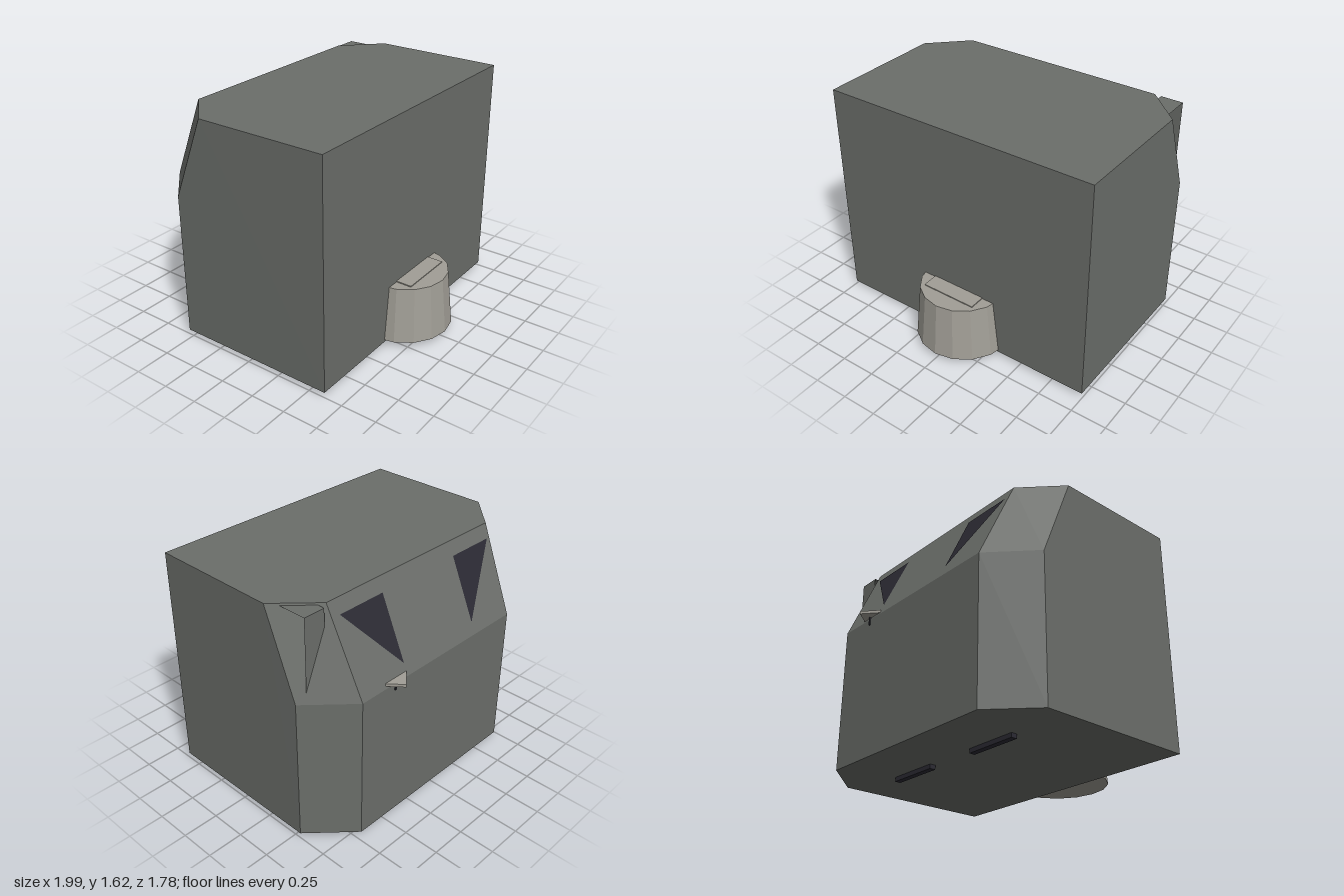
import * as THREE from 'three';
import { ConvexGeometry } from 'three/addons/geometries/ConvexGeometry.js';

const mat = (name, color, extra = {}) => {
  const m = new THREE.MeshStandardMaterial({ color, flatShading: true, ...extra });
  m.name = name;
  return m;
};

export function createModel() {
  const group = new THREE.Group();
  const grey = mat('bodyGrey', 0x6b6e6a);
  const greyThin = mat('bodyGreyThin', 0x6b6e6a, { side: THREE.DoubleSide });
  const pale = mat('paleStone', 0xa19e96);
  const dark = mat('darkSlate', 0x2b2a33);

  const add = (name, geometry, material, x = 0, y = 0, z = 0) => {
    const mesh = new THREE.Mesh(geometry, material);
    mesh.name = name;
    mesh.position.set(x, y, z);
    group.add(mesh);
    return mesh;
  };
  const box = (name, m, x0, x1, y0, y1, z0, z1) =>
    add(name, new THREE.BoxGeometry(x1 - x0, y1 - y0, z1 - z0), m,
      (x0 + x1) / 2, (y0 + y1) / 2, (z0 + z1) / 2);

  // Block body: flat front, chamfered back corners, upper back sloping forward
  const points = [];
  for (const s of [-1, 1]) {
    for (const y of [0.03, 1.62]) points.push(new THREE.Vector3(s * 0.993, y, 0.615));
    for (const y of [0.03, 1.038]) {
      points.push(new THREE.Vector3(s * 0.995, y, -0.54), new THREE.Vector3(s * 0.715, y, -0.81));
    }
    points.push(new THREE.Vector3(s * 0.995, 1.62, -0.305), new THREE.Vector3(s * 0.745, 1.62, -0.55));
  }
  add('body', new ConvexGeometry(points), grey);

  // Half-buried tapered snout with a thin plate on top
  add('snout', new THREE.CylinderGeometry(0.3, 0.34, 0.39, 16), pale, 0, 0.24, 0.55);
  box('snoutPlate', pale, -0.2, 0.2, 0.43, 0.442, 0.58, 0.727);

  // Feet strips under the body
  for (const s of [-1, 1]) {
    const foot = box('foot', dark, 0.197, 0.58, 0, 0.035, -0.43, -0.388);
    foot.position.x *= s;
  }

  // Triangular eyes lying just above the back slope
  const slopeZ = (y) => -0.81 + (y - 1.038) * (0.26 / 0.582);
  const slopeY = (z) => 1.038 + (z + 0.81) * (0.582 / 0.26);
  const eye = (corners) => {
    const g = new THREE.BufferGeometry();
    const pos = corners.flatMap(([x, z]) => {
      const y = slopeY(z);
      return [x, y + 0.002, slopeZ(y) - 0.004];
    });
    g.setAttribute('position', new THREE.Float32BufferAttribute(pos, 3));
    g.computeVertexNormals();
    add('eye', g, dark);
  };
  eye([[-0.71, -0.59], [-0.35, -0.59], [-0.35, -0.775]]);
  eye([[0.32, -0.775], [0.32, -0.59], [0.68, -0.59]]);

  // Small pointed ledge and its peg on the back
  const ledge = new THREE.Shape();
  ledge.moveTo(0.32, 0.8);
  ledge.lineTo(0.51, 0.8);
  ledge.lineTo(0.43, 0.895);
  const ledgeGeo = new THREE.ExtrudeGeometry(ledge, { depth: 0.02, bevelEnabled: false });
  ledgeGeo.rotateX(-Math.PI / 2);
  add('ledge', ledgeGeo, pale, 0, 1.052, 0);
  box('ledgePeg', dark, 0.425, 0.435, 0.995, 1.052, -0.818, -0.8);

  // Open corner fin: a triangular cap and a back wall standing out of the chamfer
  const fin = new THREE.BufferGeometry();
  fin.setAttribute('position', new THREE.Float32BufferAttribute([
    0.78, 1.607, -0.57, 0.78, 1.607, -0.515, 0.935, 1.607, -0.57,
    0.78, 1.607, -0.515, 0.935, 1.607, -0.36, 0.935, 1.607, -0.57,
    0.78, 1.607, -0.57, 0.935, 1.607, -0.57, 0.935, 1.1, -0.57,
    0.78, 1.607, -0.57, 0.935, 1.1, -0.57, 0.78, 1.45, -0.57,
  ], 3));
  fin.computeVertexNormals();
  add('cornerFin', fin, greyThin);

  return group;
}
